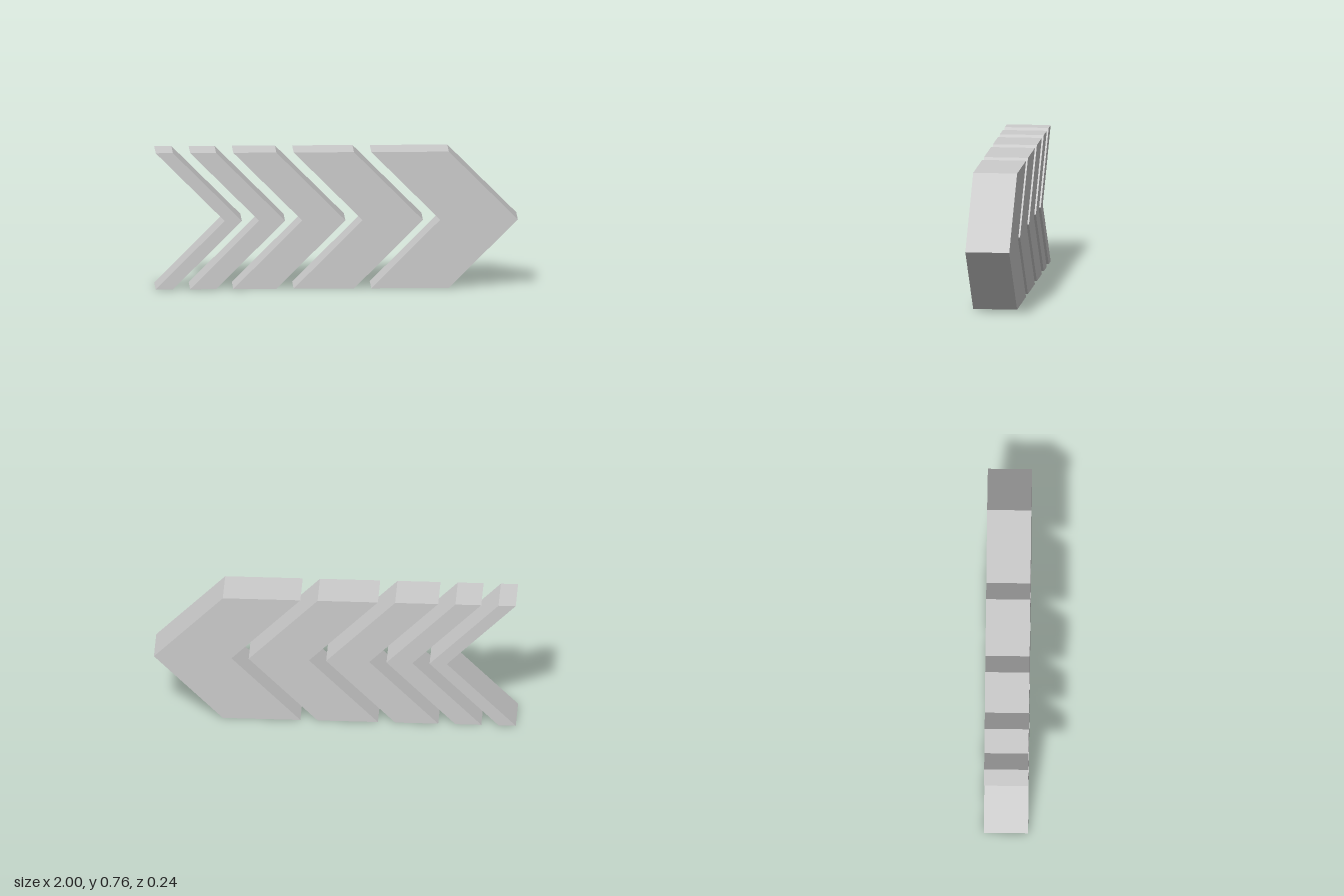
import * as THREE from 'three';

export function createModel() {
  const group = new THREE.Group();
  group.name = 'chevronArrow';
  const material = new THREE.MeshStandardMaterial({ color: 0xcccccc, flatShading: true });

  const unit = 2 / 21;          // gap between neighbouring chevrons
  const reach = 4 * unit;       // how far each tip leads its arms
  const height = 2 * reach;     // arms slope at 45 degrees
  const depth = 0.244;
  const widths = [1, 1.5, 2.5, 3.5, 4.5]; // arm widths in units, growing towards the tip

  // Row of chevrons pointing towards +x
  let x = -1;
  widths.forEach((w, i) => {
    const width = w * unit;
    const shape = new THREE.Shape([
      new THREE.Vector2(0, 0),
      new THREE.Vector2(width, 0),
      new THREE.Vector2(width + reach, height / 2),
      new THREE.Vector2(width, height),
      new THREE.Vector2(0, height),
      new THREE.Vector2(reach, height / 2),
    ]);
    const geometry = new THREE.ExtrudeGeometry(shape, { depth, bevelEnabled: false });
    const chevron = new THREE.Mesh(geometry, material);
    chevron.name = `chevron${i + 1}`;
    chevron.position.set(x, 0, -depth / 2);
    group.add(chevron);
    x += width + unit;
  });

  return group;
}
